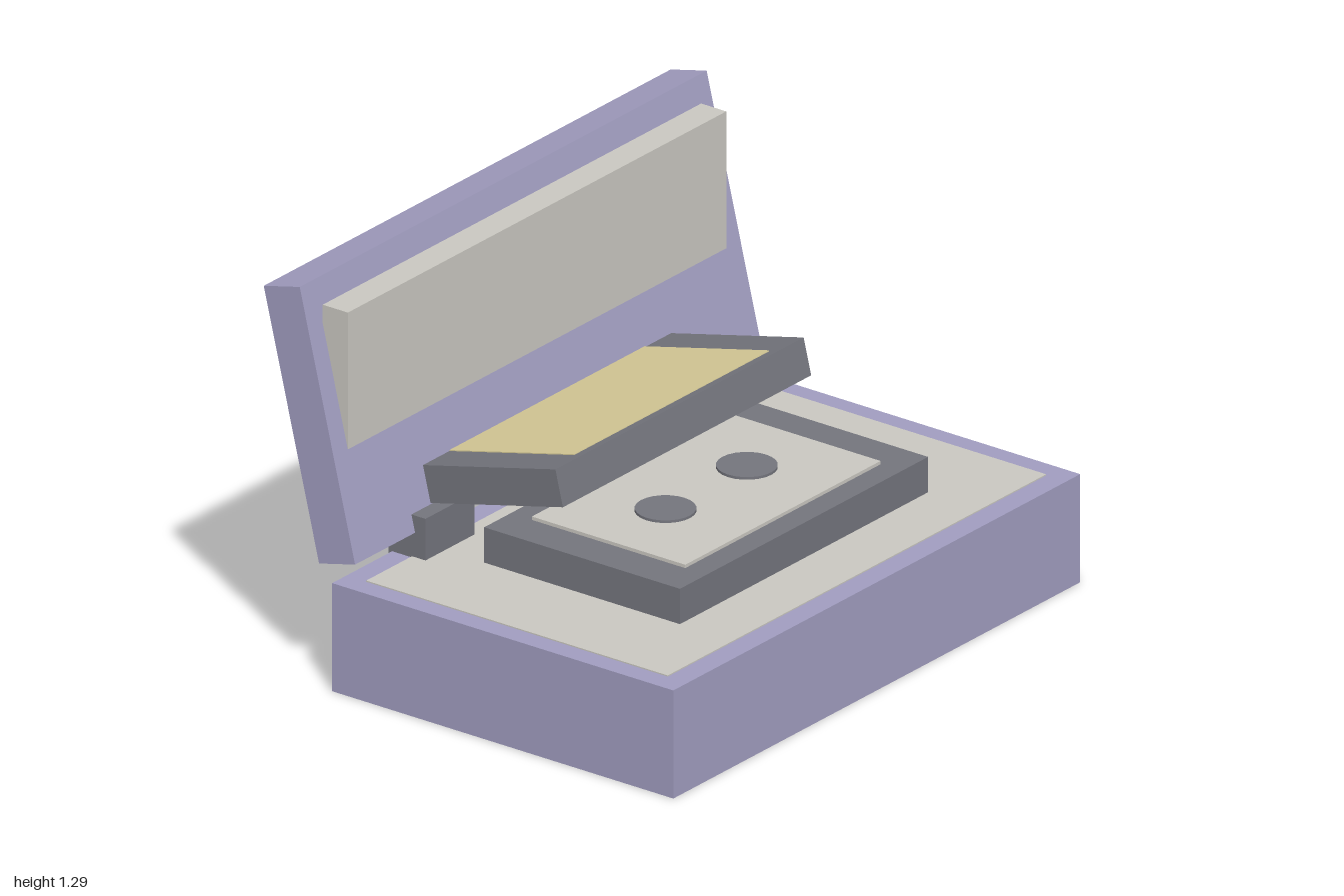
import * as THREE from 'three';

const material = (name, color) => {
  const m = new THREE.MeshStandardMaterial({ color });
  m.name = name;
  return m;
};

export function createModel() {
  const lavender = material('lavender', 0xa19dc0);
  const cream = material('cream', 0xcac8c1);
  const grey = material('grey', 0x74757d);
  const gold = material('gold', 0xd8cc98);

  const model = new THREE.Group();
  model.name = 'openCase';

  // box given by size and centre
  const box = (parent, name, mat, [w, h, d], [x, y, z]) => {
    const mesh = new THREE.Mesh(new THREE.BoxGeometry(w, h, d), mat);
    mesh.name = name;
    mesh.position.set(x, y, z);
    parent.add(mesh);
    return mesh;
  };

  // Case body and its top lining
  box(model, 'base', lavender, [2, 0.355, 1.29], [0, 0.1775, 0.13]);
  box(model, 'baseLining', cream, [1.86, 0.006, 1.14], [0, 0.356, 0.13]);

  // Lid leaning back, with an upright lining panel passing through it
  const tilt = -0.24;
  const lid = box(model, 'lid', lavender, [2, 0.88, 0.14], [0, 0.85, -0.601]);
  lid.rotation.x = tilt;
  box(model, 'lidLining', cream, [1.86, 0.74, 0.095], [0, 0.85, -0.557]);

  // Lower tray with plate and two discs
  box(model, 'tray', grey, [1.22, 0.12, 0.74], [0, 0.415, 0.13]);
  box(model, 'trayPlate', cream, [0.96, 0.012, 0.58], [0, 0.48, 0.13]);

  // Tilted cover with its inlay
  const cover = new THREE.Group();
  cover.name = 'cover';
  cover.position.set(0, 0.592, -0.317);
  cover.rotation.x = tilt;
  model.add(cover);
  box(cover, 'coverPanel', grey, [1.22, 0.12, 0.742], [0, 0, 0]);
  box(cover, 'coverInlay', gold, [0.96, 0.006, 0.58], [0, 0.06, 0.05]);

  for (const side of [-1, 1]) {
    const disc = new THREE.Mesh(new THREE.CylinderGeometry(0.093, 0.093, 0.009, 24), grey);
    disc.name = 'disc';
    disc.position.set(side * 0.2, 0.49, 0.13);
    model.add(disc);
    // Hinge blocks at the back
    box(model, 'hinge', grey, [0.24, 0.235, 0.14], [side * 0.585, 0.378, -0.459]);
  }

  return model;
}
